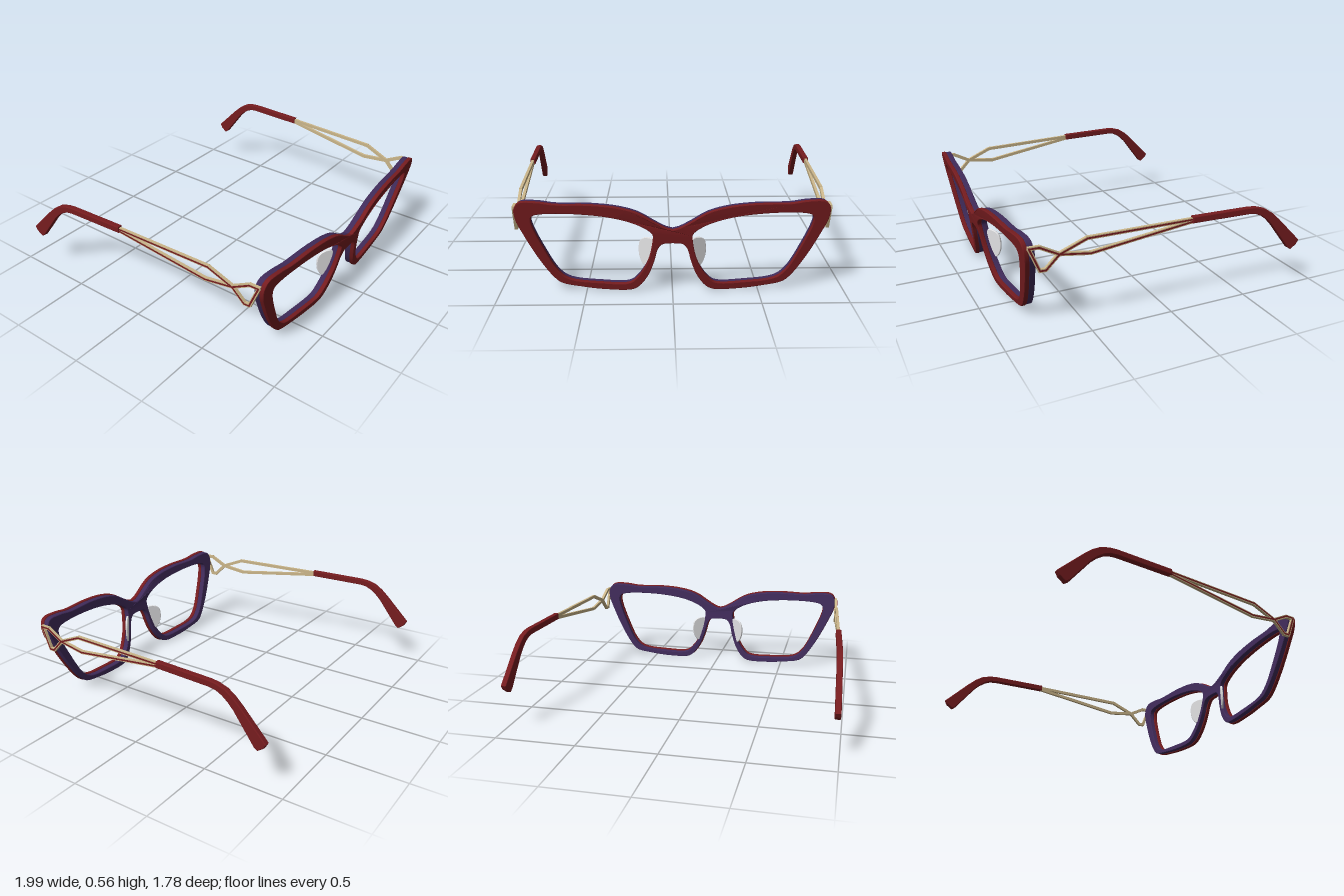
import * as THREE from 'three';
import { toCreasedNormals } from 'three/addons/utils/BufferGeometryUtils.js';

const material = (name, color) => {
  const m = new THREE.MeshStandardMaterial({ color });
  m.name = name;
  return m;
};

// Smooth curve through a few [x, y] points
function smooth(points, closed, count) {
  const curve = new THREE.CatmullRomCurve3(
    points.map(([x, y]) => new THREE.Vector3(x, y, 0)), closed, 'centripetal');
  const out = curve.getPoints(count).map(p => new THREE.Vector2(p.x, p.y));
  if (closed) out.pop();
  return out;
}

const mirrored = pts => pts.map(p => new THREE.Vector2(-p.x, p.y)).reverse();

// Half of the frame outline, from top centre round to the underside of the bridge
const HALF_OUTLINE = [
  [0, 0.4], [0.035, 0.41], [0.09, 0.44], [0.195, 0.503], [0.31, 0.535], [0.47, 0.55],
  [0.66, 0.549], [0.757, 0.561], [0.86, 0.557], [0.889, 0.52], [0.888, 0.455],
  [0.85, 0.36], [0.77, 0.2], [0.69, 0.08], [0.645, 0.043], [0.53, 0.02], [0.39, 0.005],
  [0.235, 0.008], [0.19, 0.035], [0.14, 0.107], [0.105, 0.2], [0.085, 0.275],
  [0.06, 0.308], [0, 0.316],
];

// Lens opening
const OPENING = [
  [0.115, 0.37], [0.18, 0.42], [0.315, 0.465], [0.525, 0.49], [0.74, 0.487], [0.79, 0.472],
  [0.8, 0.44], [0.73, 0.25], [0.66, 0.12], [0.6, 0.072], [0.42, 0.05], [0.25, 0.053],
  [0.205, 0.09], [0.165, 0.15], [0.135, 0.22], [0.115, 0.32],
];

// Front surface: sweeps back toward the sides and leans back toward the bottom
function frontZ(x, y) {
  const a = Math.abs(x);
  return 0.886 - 0.068 * Math.max(0, a - 0.12) - 0.15 * (0.42 - y);
}

// One layer of the frame between two depths behind the front surface
function frameLayer(near, far, inset) {
  const half = smooth(HALF_OUTLINE, false, 110);
  // Anticlockwise, so that the walls of the openings face inward
  const shape = new THREE.Shape([...half, ...mirrored(half).slice(1, -1)].reverse());
  const hole = smooth(OPENING, true, 90);
  shape.holes.push(new THREE.Path(hole), new THREE.Path(mirrored(hole)));
  const bevel = 0.005;
  const geo = new THREE.ExtrudeGeometry(shape, {
    depth: far - near - 2 * bevel, bevelEnabled: true, bevelThickness: bevel,
    bevelSize: bevel, bevelOffset: -bevel - inset, bevelSegments: 2,
  });
  geo.translate(0, 0, bevel - far);
  const p = geo.attributes.position;
  for (let i = 0; i < p.count; i++) p.setZ(i, p.getZ(i) + frontZ(p.getX(i), p.getY(i)));
  return toCreasedNormals(geo, 0.35);
}

// Nose pad outline; the straight upright edge is on the outer side
const PAD = [
  [-0.045, 0.085], [0.012, 0.086], [0.045, 0.06], [0.05, -0.03],
  [0.012, -0.088], [-0.025, -0.06], [-0.045, 0],
];

function nosePad(side) {
  const half = smooth(PAD, true, 42);
  return new THREE.ExtrudeGeometry(new THREE.Shape(side > 0 ? half : mirrored(half)), {
    depth: 0.006, bevelEnabled: true, bevelThickness: 0.004, bevelSize: 0.004,
    bevelOffset: -0.004, bevelSegments: 2,
  });
}

// Arms splay outward toward the tips
const armX = z => 0.895 + 0.05 * (0.82 - z);

// Ear piece profile as [distance back, height]
const EAR_PIECE = [
  [0.145, 0.552], [0.52, 0.552], [0.57, 0.547], [0.63, 0.529], [0.68, 0.496], [0.73, 0.451],
  [0.889, 0.29], [0.874, 0.262], [0.836, 0.234], [0.814, 0.248], [0.68, 0.423],
  [0.645, 0.458], [0.605, 0.488], [0.565, 0.506], [0.52, 0.512], [0.145, 0.512],
];

function earPiece(side) {
  const shape = new THREE.Shape(EAR_PIECE.map(([u, y]) => new THREE.Vector2(u, y)));
  const geo = new THREE.ExtrudeGeometry(shape, {
    depth: 0.024, bevelEnabled: true, bevelThickness: 0.005, bevelSize: 0.005,
    bevelOffset: -0.005, bevelSegments: 2,
  });
  geo.translate(0, 0, -0.012);
  geo.rotateY(Math.PI / 2);
  const p = geo.attributes.position;
  for (let i = 0; i < p.count; i++) p.setX(i, p.getX(i) + side * armX(p.getZ(i)));
  return toCreasedNormals(geo, 0.35);
}

// Crossing arm wires as [z, y]
const WIRES = [
  [[0.82, 0.515], [0.76, 0.515], [0.65, 0.457], [0.47, 0.433], [-0.16, 0.523]],
  [[0.815, 0.51], [0.76, 0.378], [0.727, 0.378], [0.65, 0.457], [0.49, 0.524], [-0.16, 0.534]],
];

// Straight bar between two points
function bar(a, b, width, height, mat, name) {
  const mesh = new THREE.Mesh(
    new THREE.BoxGeometry(width, height, a.distanceTo(b) + height * 0.5), mat);
  mesh.position.lerpVectors(a, b, 0.5);
  mesh.lookAt(b);
  mesh.name = name;
  return mesh;
}

export function createModel() {
  const red = material('deep red', 0x761c1f);
  const purple = material('dark purple', 0x402b5a);
  const gold = material('pale gold', 0xcbb68a);
  const clear = material('pad grey', 0xe2e2e4);

  const model = new THREE.Group();
  model.name = 'eyeglasses';
  const add = (parent, geo, mat, name) => {
    const mesh = new THREE.Mesh(geo, mat);
    mesh.name = name;
    parent.add(mesh);
    return mesh;
  };

  // Two-layer frame
  add(model, frameLayer(0, 0.028, 0), red, 'frameFront');
  add(model, frameLayer(0.026, 0.064, 0.004), purple, 'frameBack');

  for (const side of [1, -1]) {
    const label = side > 0 ? 'left' : 'right';

    const pad = add(model, nosePad(side), clear, label + 'NosePad');
    pad.position.set(side * 0.148, 0.235, 0.785);
    pad.rotation.y = side * 0.6;

    // Arm: wires with a red inlay on the outer face, then the ear piece
    const arm = new THREE.Group();
    arm.name = label + 'Arm';
    model.add(arm);
    for (const wire of WIRES) {
      const at = ([z, y], out) => new THREE.Vector3(side * (armX(z) + out), y, z);
      for (let i = 0; i + 1 < wire.length; i++) {
        arm.add(bar(at(wire[i], 0), at(wire[i + 1], 0), 0.017, 0.021, gold, 'wire'));
        arm.add(bar(at(wire[i], 0.008), at(wire[i + 1], 0.008), 0.003, 0.01, red, 'wireInlay'));
      }
    }
    add(arm, earPiece(side), red, 'earPiece');
  }
  return model;
}
